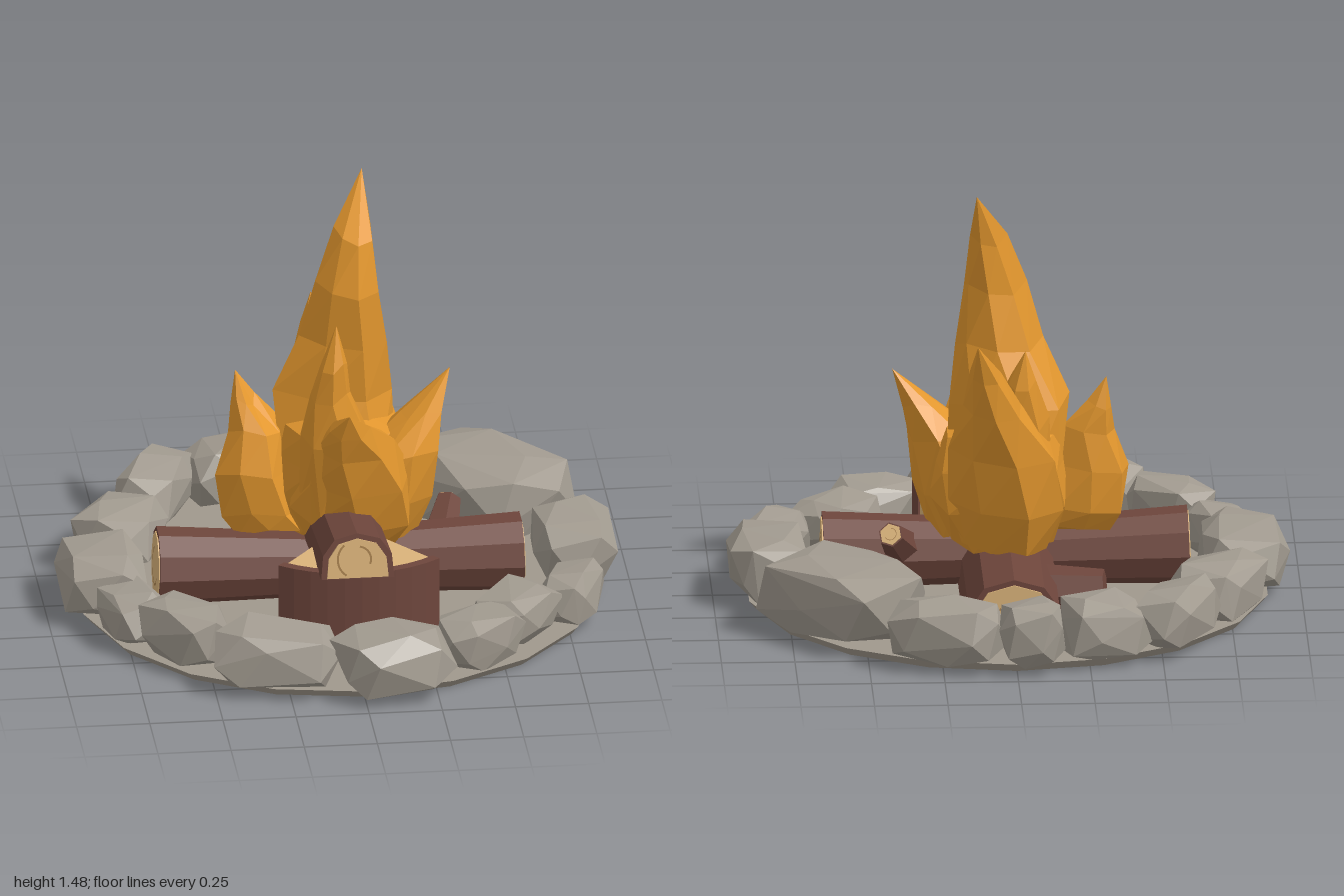
import * as THREE from 'three';
import { ConvexGeometry } from 'three/addons/geometries/ConvexGeometry.js';

const paint = (name, hex) => {
  const m = new THREE.MeshStandardMaterial({ color: hex });
  m.name = name;
  return m;
};

// Flat facets without sharing normals between faces
function faceted(geo) {
  const g = geo.index ? geo.toNonIndexed() : geo;
  g.computeVertexNormals();
  return g;
}

function add(parent, name, geo, mat) {
  const mesh = new THREE.Mesh(faceted(geo), mat);
  mesh.name = name;
  parent.add(mesh);
  return mesh;
}

function seeded(seed) {
  let s = seed;
  return () => (s = (s * 16807) % 2147483647) / 2147483647;
}

// Blocky boulder: convex hull of jittered points, fitted to the given half sizes
function rockGeometry(w, h, d, rnd) {
  const pts = [];
  const n = 20, turn = rnd() * 6;
  const blocky = v => Math.sign(v) * Math.pow(Math.abs(v), 0.58);
  for (let i = 0; i < n; i++) {
    const y = 1 - (2 * i + 1) / n, r = Math.sqrt(1 - y * y), a = i * 2.39996 + turn;
    const k = 0.88 + rnd() * 0.2;
    pts.push(new THREE.Vector3(blocky(r * Math.cos(a)) * k, blocky(y) * k, blocky(r * Math.sin(a)) * k));
  }
  const box = new THREE.Box3().setFromPoints(pts);
  const c = box.getCenter(new THREE.Vector3()), s = box.getSize(new THREE.Vector3());
  for (const p of pts) p.sub(c).divide(s).multiply(new THREE.Vector3(2 * w, 2 * h, 2 * d));
  return new ConvexGeometry(pts);
}

// Flame tongue lofted through sections [x, y, z, rx, rz], ending in a point
function flameGeometry(sections, tip, twist) {
  const sides = 7, pos = [], idx = [];
  sections.forEach(([x, y, z, rx, rz], j) => {
    for (let i = 0; i < sides; i++) {
      const a = (i / sides) * Math.PI * 2 + twist + j * 0.16;
      const k = i % 2 ? 0.95 : 1.06;
      pos.push(x + Math.cos(a) * rx * k, y + (i % 3 - 1) * 0.015, z + Math.sin(a) * rz * k);
    }
  });
  const top = pos.length / 3;
  pos.push(...tip, sections[0][0], sections[0][1] - 0.02, sections[0][2]);
  const last = (sections.length - 1) * sides;
  for (let i = 0; i < sides; i++) {
    const k = (i + 1) % sides;
    for (let j = 0; j < last; j += sides) {
      idx.push(j + i, j + sides + i, j + k, j + k, j + sides + i, j + sides + k);
    }
    idx.push(last + i, top, last + k, i, k, top + 1);
  }
  const g = new THREE.BufferGeometry();
  g.setAttribute('position', new THREE.Float32BufferAttribute(pos, 3));
  g.setIndex(idx);
  return g;
}

// Arched cross-section, extruded along z
function archGeometry(w, h, y0, z0, depth) {
  const shape = new THREE.Shape([[-w, y0], [w, y0], [w * 0.94, h * 0.52], [w * 0.62, h * 0.87],
    [0, h], [-w * 0.62, h * 0.87], [-w * 0.94, h * 0.52]].map(p => new THREE.Vector2(...p)));
  return new THREE.ExtrudeGeometry(shape, { depth, bevelEnabled: false }).translate(0, 0, z0);
}

export function createModel() {
  const model = new THREE.Group();
  model.name = 'campfire';
  const stone = paint('stone grey', 0xa29b90);
  const ash = paint('ash grey', 0xa0988c);
  const bark = paint('bark brown', 0x6e463c);
  const wood = paint('cut wood', 0xdab37a);
  const ring = paint('wood ring', 0xa67f4e);
  const fire = paint('flame orange', 0xe3972e);

  // Ground disc, slightly narrower underneath
  const disc = add(model, 'groundDisc', new THREE.CylinderGeometry(0.895, 0.87, 0.03, 18), ash);
  disc.position.set(0, 0.015, -0.01);

  // Ring of stones: x, z, half length along the ring, half depth, top height, extra turn
  const rnd = seeded(4711);
  const stones = new THREE.Group();
  stones.name = 'stoneRing';
  model.add(stones);
  for (const [x, z, w, d, top, turn = 0] of [
    [-0.05, -0.88, 0.115, 0.12, 0.25], [0.23, -0.83, 0.2, 0.125, 0.25], [0.56, -0.48, 0.29, 0.205, 0.28],
    [0.81, -0.04, 0.21, 0.14, 0.24], [0.77, 0.3, 0.16, 0.1, 0.2], [0.56, 0.47, 0.16, 0.115, 0.2],
    [0.41, 0.65, 0.15, 0.115, 0.2], [0.1, 0.835, 0.21, 0.16, 0.24], [-0.28, 0.74, 0.22, 0.14, 0.25, 0.15],
    [-0.58, 0.52, 0.17, 0.105, 0.23], [-0.73, 0.33, 0.14, 0.1, 0.2], [-0.81, 0.03, 0.22, 0.15, 0.23],
    [-0.7, -0.33, 0.17, 0.14, 0.22], [-0.55, -0.65, 0.19, 0.11, 0.24, 0.36], [-0.3, -0.78, 0.15, 0.12, 0.24],
  ]) {
    const h = (top - 0.025) / 2;
    const rock = add(stones, 'stone', rockGeometry(w, h, d, rnd), stone);
    rock.position.set(x, 0.025 + h, z);
    rock.rotation.y = Math.atan2(x, z) + turn;
  }

  // Round log from the inner point to the outer, cut end at the outer point
  function log(name, from, to, rIn, rOut, cut = true) {
    const a = new THREE.Vector3(...from), b = new THREE.Vector3(...to);
    const group = new THREE.Group();
    group.name = name;
    const len = a.distanceTo(b);
    const sides = rOut > 0.1 ? 10 : 6;
    add(group, 'bark', new THREE.CylinderGeometry(rOut, rIn, len, sides), bark);
    if (cut) {
      add(group, 'cutEnd', new THREE.CylinderGeometry(rOut * 0.87, rOut * 0.87, 0.008, sides), wood).position.y = len / 2;
      const mark = new THREE.RingGeometry(rOut * 0.44, rOut * 0.5, 10, 1, 0.4, 4).rotateX(-Math.PI / 2);
      add(group, 'growthRing', mark, ring).position.y = len / 2 + 0.006;
    }
    group.position.copy(a).add(b).multiplyScalar(0.5);
    group.quaternion.setFromUnitVectors(new THREE.Vector3(0, 1, 0), b.sub(a).normalize());
    model.add(group);
  }
  log('leftLog', [-0.05, 0.14, 0.035], [0.625, 0.14, 0.035], 0.105, 0.137);
  log('rightLog', [0.05, 0.125, 0.04], [-0.62, 0.147, 0.035], 0.105, 0.137);
  log('leftLogStub', [0.36, 0.18, -0.04], [0.4, 0.26, -0.16], 0.065, 0.044);
  log('backLogStub', [-0.1, 0.11, -0.31], [-0.32, 0.13, -0.345], 0.085, 0.055, false);

  // Half log, flat side down, its cut end at the origin of the group
  function halfLog(name, w, h, len) {
    const group = new THREE.Group();
    group.name = name;
    add(group, 'bark', archGeometry(w, h, 0, -len, len), bark);
    add(group, 'cutEnd', archGeometry(w - 0.02, h - 0.018, 0.004, -0.001, 0.007), wood);
    for (const [r, start] of [[0.042, -0.4], [0.065, 2.3]]) {
      const mark = new THREE.RingGeometry(r, r + 0.007, 8, 1, start, 1.8);
      add(group, 'growthRing', mark, ring).position.set(0, 0.07, 0.008);
    }
    model.add(group);
    return group;
  }
  const frontLog = halfLog('frontHalfLog', 0.125, 0.16, 0.52);
  frontLog.position.set(0.01, 0.305, 0.56);
  frontLog.rotation.x = -0.14;
  const backLog = halfLog('backHalfLog', 0.165, 0.22, 0.65);
  backLog.position.set(0, 0.028, -0.645);
  backLog.rotation.y = Math.PI;

  // Upright split wedge with bark on its curved side
  const wedge = new THREE.Group();
  wedge.name = 'splitWedge';
  wedge.position.set(0.03, 0.028, 0.08);
  model.add(wedge);
  const mid = -Math.PI / 2, half = 0.66, rCore = 0.405;
  const core = new THREE.Shape().moveTo(0, 0)
    .lineTo(rCore * Math.cos(mid - half), rCore * Math.sin(mid - half))
    .absarc(0, 0, rCore, mid - half, mid + half, false);
  const rind = new THREE.Shape().absarc(0, 0, 0.437, mid - half - 0.02, mid + half + 0.02, false)
    .absarc(0, 0, 0.404, mid + half + 0.02, mid - half - 0.02, true);
  for (const [name, shape, depth, mat] of [['splitWood', core, 0.268, wood], ['bark', rind, 0.275, bark]]) {
    const g = new THREE.ExtrudeGeometry(shape, { depth, bevelEnabled: false, curveSegments: 5 });
    add(wedge, name, g.rotateX(-Math.PI / 2), mat);
  }

  // Fire: a bowl-shaped body and overlapping tongues, each with its own path and tip
  const flames = new THREE.Group();
  flames.name = 'fire';
  model.add(flames);
  const tongues = {
    fireBody: [[[0.01, 0.23, -0.08, 0.17, 0.2], [0.02, 0.38, -0.08, 0.24, 0.28], [0.02, 0.52, -0.08, 0.235, 0.3],
      [0.01, 0.63, -0.08, 0.205, 0.26]], [0, 0.68, -0.1]],
    tallFlame: [[[0, 0.24, -0.05, 0.13, 0.13], [0, 0.45, -0.1, 0.2, 0.17], [-0.01, 0.72, -0.12, 0.2, 0.13],
      [0.03, 0.92, -0.09, 0.145, 0.11], [0.045, 1.12, -0.07, 0.105, 0.11], [0.07, 1.3, -0.1, 0.065, 0.09]], [0.11, 1.48, -0.22]],
    frontFlame: [[[0.04, 0.22, 0.06, 0.14, 0.1], [0.05, 0.34, 0.09, 0.21, 0.15], [0.05, 0.5, 0.13, 0.2, 0.17],
      [0.03, 0.65, 0.21, 0.15, 0.13], [0.01, 0.75, 0.32, 0.075, 0.055]], [0, 0.835, 0.4]],
    frontHighFlame: [[[0, 0.4, 0.1, 0.15, 0.13], [-0.03, 0.68, 0.18, 0.12, 0.12], [-0.05, 0.85, 0.24, 0.07, 0.06],
      [-0.04, 0.97, 0.26, 0.045, 0.05]], [-0.03, 1.115, 0.26]],
    leftFlame: [[[0.13, 0.23, 0.02, 0.13, 0.12], [0.17, 0.38, 0.03, 0.145, 0.16], [0.21, 0.56, 0.04, 0.13, 0.15],
      [0.29, 0.68, 0.01, 0.07, 0.08]], [0.39, 0.81, -0.03]],
    rightFlame: [[[-0.22, 0.25, -0.03, 0.13, 0.08], [-0.26, 0.32, -0.04, 0.135, 0.11], [-0.285, 0.47, -0.04, 0.125, 0.12],
      [-0.27, 0.61, -0.06, 0.09, 0.09], [-0.31, 0.7, -0.09, 0.04, 0.05]], [-0.335, 0.8, -0.11]],
    backFlame: [[[0.02, 0.24, -0.2, 0.14, 0.14], [0.01, 0.4, -0.25, 0.19, 0.16], [0.02, 0.6, -0.31, 0.18, 0.145],
      [0.06, 0.78, -0.41, 0.1, 0.09], [0.09, 0.92, -0.48, 0.055, 0.045]], [0.12, 1.055, -0.57]],
    backSmallFlame: [[[-0.02, 0.5, -0.22, 0.13, 0.12], [-0.04, 0.7, -0.27, 0.1, 0.1],
      [-0.04, 0.85, -0.33, 0.05, 0.05]], [-0.05, 0.97, -0.35]],
  };
  Object.entries(tongues).forEach(([name, [sections, tip]], i) =>
    add(flames, name, flameGeometry(sections, tip, i * 0.7), fire));

  return model;
}
